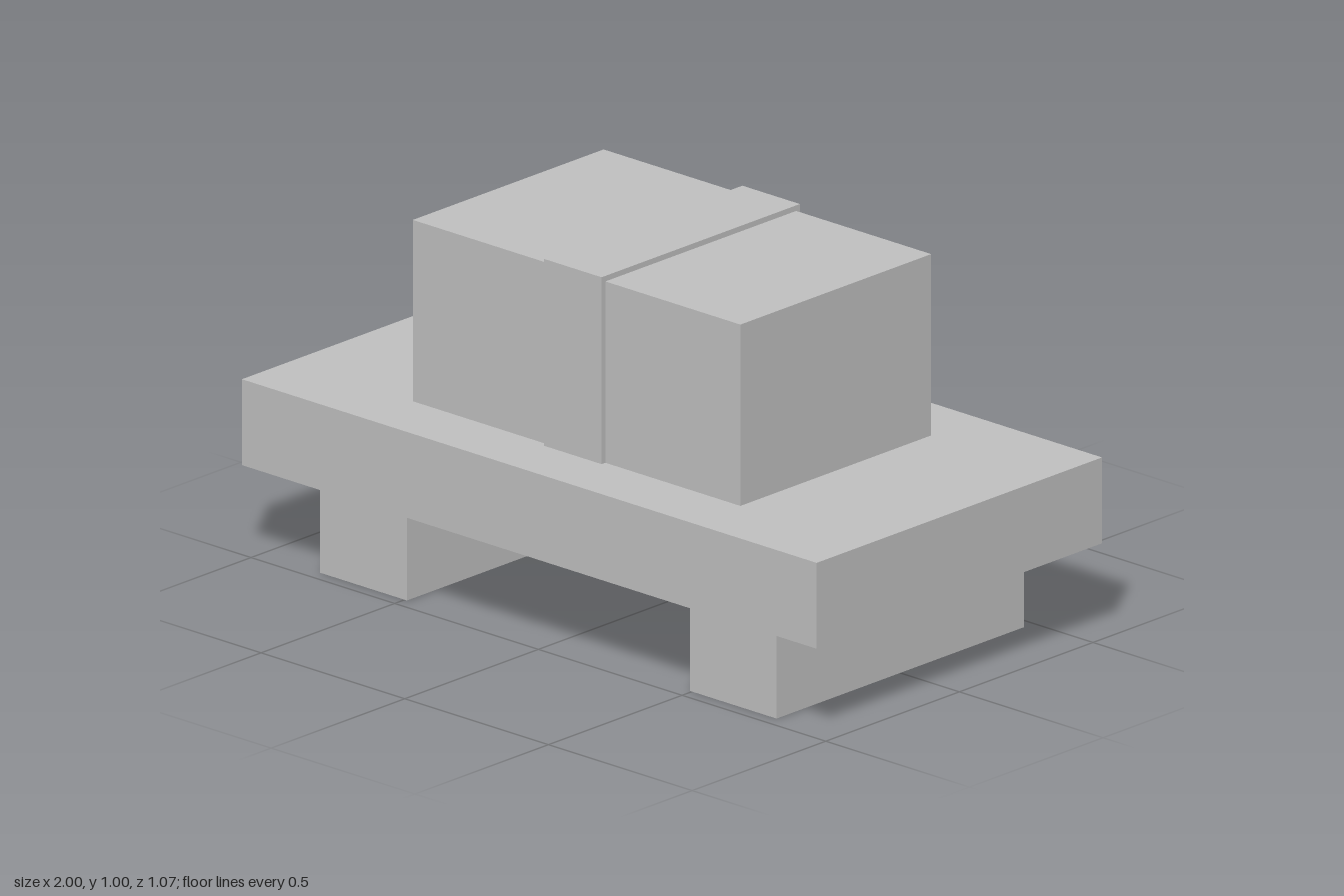
import * as THREE from 'three';

export function createModel() {
  const model = new THREE.Group();
  const grey = new THREE.MeshStandardMaterial({ color: 0xc0c0c0 });
  grey.name = 'lightGrey';

  // Box centred on z, standing between two heights
  const addBox = (name, width, depth, bottom, top, x = 0) => {
    const mesh = new THREE.Mesh(new THREE.BoxGeometry(width, top - bottom, depth), grey);
    mesh.name = name;
    mesh.position.set(x, (bottom + top) / 2, 0);
    model.add(mesh);
  };

  // Runners under the platform
  addBox('leftRunner', 0.302, 0.925, 0, 0.26, 0.643);
  addBox('rightRunner', 0.302, 0.925, 0, 0.26, -0.643);

  // Platform, and the crate standing on it
  addBox('platform', 2, 1.068, 0.26, 0.493);
  addBox('crate', 1.14, 0.714, 0.493, 0.985);

  // Band wrapped over the front, top and back of the crate
  addBox('band', 0.2, 0.742, 0.493, 1);

  return model;
}
